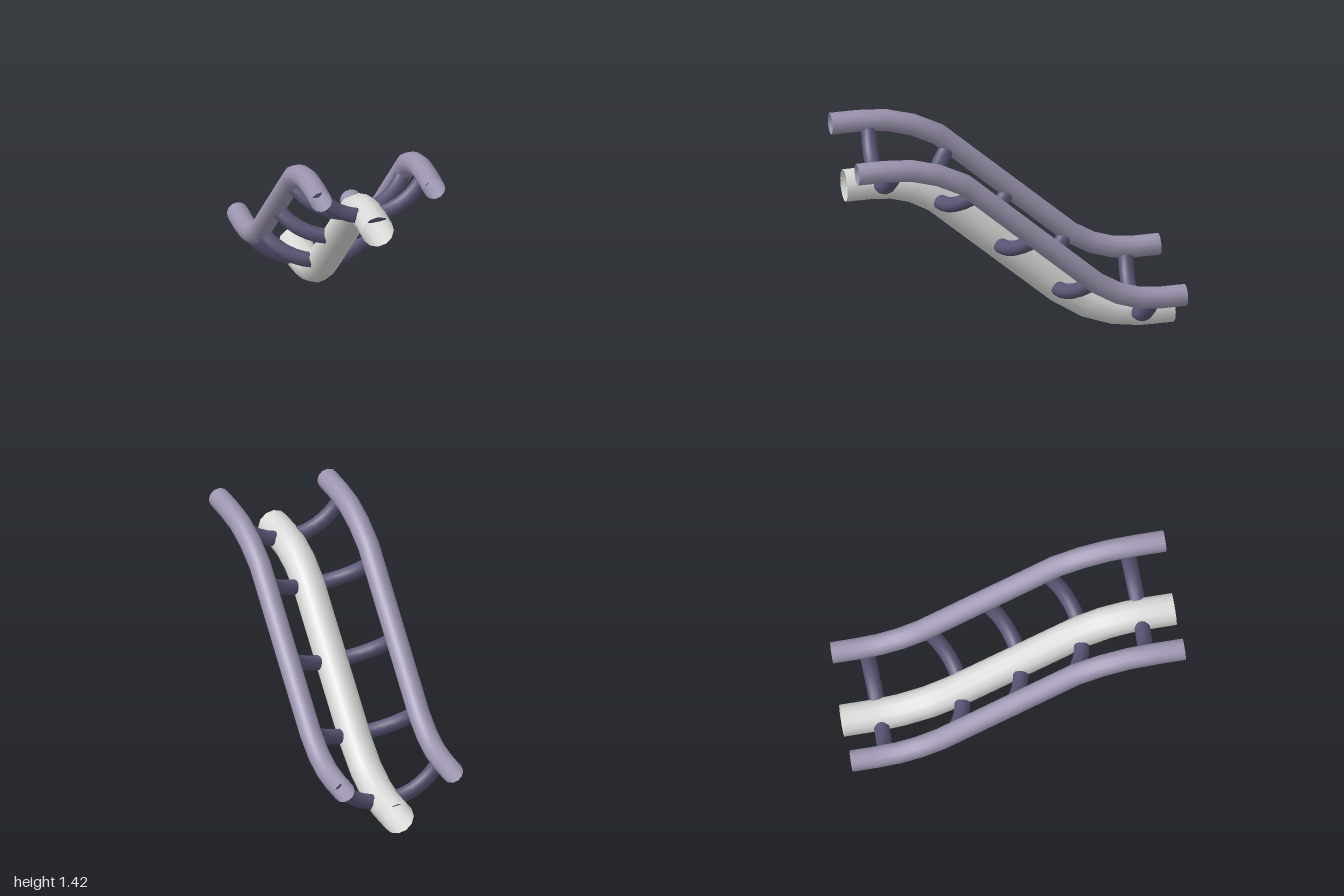
import * as THREE from 'three';

// Curve that visits each given point once per segment, so bends stay faceted along the length
class PolyCurve extends THREE.Curve {
  constructor(points) {
    super();
    this.points = points;
  }
  getPoint(t, target = new THREE.Vector3()) {
    const n = this.points.length - 1;
    const i = Math.min(Math.floor(t * n + 1e-6), n - 1);
    return target.lerpVectors(this.points[i], this.points[i + 1], t * n - i);
  }
  getPointAt(t, target) {
    return this.getPoint(t, target);
  }
  getTangentAt(t, target = new THREE.Vector3()) {
    const n = this.points.length - 1;
    const i = Math.round(t * n);
    const p = this.points;
    const a = p[i].clone().sub(p[Math.max(i - 1, 0)]).normalize();
    const b = p[Math.min(i + 1, n)].clone().sub(p[i]).normalize();
    return target.copy(a).add(b).normalize();
  }
}

function pipe(name, points, radius, sides, material) {
  const geometry = new THREE.TubeGeometry(new PolyCurve(points), points.length - 1, radius, sides, false);
  const mesh = new THREE.Mesh(geometry, material);
  mesh.name = name;
  return mesh;
}

export function createModel() {
  const make = (name, color) => new THREE.MeshStandardMaterial({ name, color, side: THREE.DoubleSide });
  const railPaint = make('lavender rail', 0x9c94af);
  const spinePaint = make('pale grey spine', 0xd9d9d7);
  const tiePaint = make('dark violet tie', 0x575574);

  const model = new THREE.Group();
  model.name = 'trackSection';
  const halfGauge = 0.345;

  // Side profiles as [z, y], from the high front end to the low back end
  const railProfile = [
    [0.997, 1.365], [0.83, 1.365], [0.664, 1.352], [0.5, 1.303], [0.344, 1.222],
    [-0.458, 0.482], [-0.59, 0.4], [-0.715, 0.357], [-0.85, 0.343], [-0.997, 0.343],
  ];
  const spineProfile = [
    [0.995, 1.125], [0.83, 1.125], [0.71, 1.113], [0.577, 1.073], [0.435, 0.99],
    [-0.315, 0.304], [-0.475, 0.194], [-0.64, 0.13], [-0.8, 0.105], [-0.995, 0.105],
  ];
  const path = (profile, x) => profile.map(([z, y]) => new THREE.Vector3(x, y, z));

  // Running rails and central spine, all open-ended pipes
  model.add(pipe('leftRail', path(railProfile, halfGauge), 0.065, 12, railPaint));
  model.add(pipe('rightRail', path(railProfile, -halfGauge), 0.065, 12, railPaint));
  model.add(pipe('spine', path(spineProfile, 0), 0.097, 12, spinePaint));

  // Cross ties: [middle z, middle y, end z, end y], each a circular arc from rail to rail
  const ties = [
    [0.79, 1.135, 0.765, 1.365],
    [0.435, 0.985, 0.27, 1.15],
    [0.07, 0.655, -0.093, 0.818],
    [-0.28, 0.33, -0.445, 0.495],
    [-0.77, 0.118, -0.795, 0.345],
  ];
  ties.forEach(([mz, my, ez, ey], k) => {
    const sag = Math.hypot(ez - mz, ey - my);
    const R = (halfGauge ** 2 + sag ** 2) / (2 * sag);
    const span = Math.asin(halfGauge / R);
    const points = [];
    for (let i = 0; i <= 14; i++) {
      const a = span * (i / 7 - 1);
      const rise = (R * (1 - Math.cos(a))) / sag;
      points.push(new THREE.Vector3(R * Math.sin(a), my + (ey - my) * rise, mz + (ez - mz) * rise));
    }
    model.add(pipe('crossTie' + (k + 1), points, 0.046, 12, tiePaint));
  });

  // The track runs very slightly askew
  model.rotation.y = -0.009;
  const root = new THREE.Group();
  root.name = 'track';
  root.add(model);
  return root;
}
